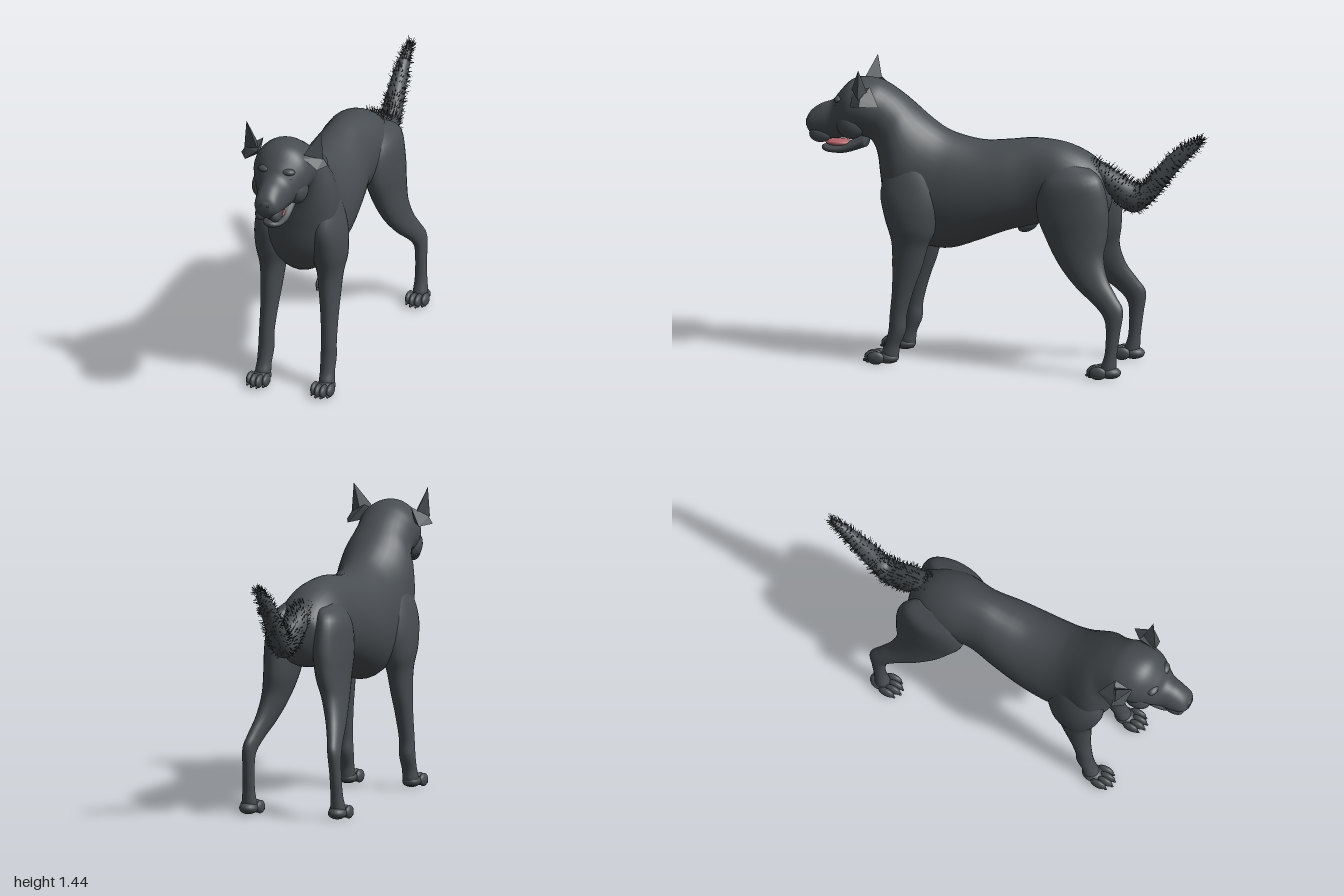
import * as THREE from 'three';
import { ConvexGeometry } from 'three/addons/geometries/ConvexGeometry.js';

const mat = (name, color, side = THREE.FrontSide) => {
  const m = new THREE.MeshStandardMaterial({ color, side });
  m.name = name;
  return m;
};

// Smooth loft. Each section: [z1, y1, z2, y2, halfWidth, x], the two points being
// opposite ends of an oval ring whose other axis is x.
function loft(sections, steps = 5, sides = 28) {
  const rows = [];
  const n = sections.length;
  const at = (i, k) => sections[Math.min(n - 1, Math.max(0, i))][k] ?? 0;
  for (let i = 0; i < n - 1; i++) {
    for (let s = 0; s < steps + (i === n - 2 ? 1 : 0); s++) {
      const t = s / steps;
      rows.push([0, 1, 2, 3, 4, 5].map(k => {
        const a = at(i - 1, k), b = at(i, k), c = at(i + 1, k), d = at(i + 2, k);
        return b + 0.5 * t * (c - a + t * (2 * a - 5 * b + 4 * c - d + t * (3 * (b - c) + d - a)));
      }));
    }
  }
  const pos = [], idx = [];
  for (const [z1, y1, z2, y2, w, x] of rows) {
    for (let j = 0; j < sides; j++) {
      const a = j / sides * Math.PI * 2, c = Math.cos(a) / 2;
      pos.push(x + w * Math.sin(a), (y1 + y2) / 2 + (y1 - y2) * c, (z1 + z2) / 2 + (z1 - z2) * c);
    }
  }
  for (let i = 0; i < rows.length - 1; i++) {
    for (let j = 0; j < sides; j++) {
      const k = (j + 1) % sides, a = i * sides + j, b = i * sides + k;
      idx.push(a, a + sides, b, b, a + sides, b + sides);
    }
  }
  // end caps
  [0, rows.length - 1].forEach((r, end) => {
    const [z1, y1, z2, y2, , x] = rows[r], mid = pos.length / 3;
    pos.push(x, (y1 + y2) / 2, (z1 + z2) / 2);
    for (let j = 0; j < sides; j++) {
      const a = r * sides + j, b = r * sides + (j + 1) % sides;
      idx.push(mid, end ? b : a, end ? a : b);
    }
  });
  const g = new THREE.BufferGeometry();
  g.setAttribute('position', new THREE.Float32BufferAttribute(pos, 3));
  g.setIndex(idx);
  g.computeVertexNormals();
  return g;
}

// Thin hairs standing on a surface, swept along a direction
function hairs(geo, count, length, sweep) {
  let seed = 7;
  const rnd = () => (seed = (seed * 16807) % 2147483647) / 2147483647;
  const p = geo.attributes.position, nrm = geo.attributes.normal, pos = [];
  for (let i = 0; i < count; i++) {
    const k = Math.floor(rnd() * p.count);
    const n = new THREE.Vector3().fromBufferAttribute(nrm, k);
    const v = new THREE.Vector3().fromBufferAttribute(p, k);
    const side = new THREE.Vector3(rnd() - 0.5, rnd() - 0.5, rnd() - 0.5).cross(n).setLength(0.003);
    const tip = v.clone().addScaledVector(n, length * (0.4 + 0.6 * rnd())).addScaledVector(sweep, length * rnd());
    pos.push(...v.clone().add(side).toArray(), ...v.clone().sub(side).toArray(), ...tip.toArray());
  }
  const g = new THREE.BufferGeometry();
  g.setAttribute('position', new THREE.Float32BufferAttribute(pos, 3));
  g.computeVertexNormals();
  return g;
}

export function createModel() {
  const model = new THREE.Group();
  model.name = 'dog';
  const coat = mat('coat', 0x484d51);
  const fur = mat('furTips', 0x34383b, THREE.DoubleSide);
  const dark = mat('darkSkin', 0x33373a);
  const pink = mat('tongue', 0xb5666b);

  const add = (name, geo, material = coat, parent = model) => {
    const m = new THREE.Mesh(geo, material);
    m.name = name;
    parent.add(m);
    return m;
  };
  const ball = (name, p, s, material = coat, parent = model) => {
    const m = add(name, new THREE.SphereGeometry(1, 20, 14), material, parent);
    m.position.set(...p);
    m.scale.set(...s);
    return m;
  };

  // Trunk, neck, skull and muzzle in one skin
  add('bodyAndHead', loft([
    [-0.50, 0.94, -0.51, 0.82, 0.04], [-0.48, 0.98, -0.47, 0.73, 0.11],
    [-0.40, 1.05, -0.36, 0.70, 0.155], [-0.28, 1.10, -0.25, 0.715, 0.16],
    [-0.13, 1.115, -0.13, 0.69, 0.145], [0, 1.10, 0, 0.655, 0.165],
    [0.12, 1.09, 0.14, 0.60, 0.18], [0.22, 1.105, 0.27, 0.555, 0.185],
    [0.30, 1.13, 0.38, 0.555, 0.185], [0.36, 1.165, 0.51, 0.60, 0.19],
    [0.42, 1.21, 0.60, 0.72, 0.195], [0.47, 1.25, 0.625, 0.88, 0.18],
    [0.52, 1.29, 0.64, 0.99, 0.155], [0.58, 1.33, 0.67, 1.06, 0.145],
    [0.64, 1.36, 0.715, 1.08, 0.15, 0.003], [0.72, 1.37, 0.76, 1.08, 0.145, 0.006],
    [0.78, 1.352, 0.79, 1.07, 0.13, 0.01], [0.835, 1.295, 0.83, 1.065, 0.102, 0.01],
    [0.87, 1.252, 0.87, 1.06, 0.08, 0.01], [0.93, 1.228, 0.925, 1.055, 0.068, 0.01],
    [0.98, 1.19, 0.975, 1.08, 0.055, 0.01], [1.0, 1.15, 0.998, 1.11, 0.025, 0.01],
  ], 5, 36));

  // Open mouth
  add('lowerJaw', loft([
    [0.70, 1.10, 0.70, 1.03, 0.06, 0.01], [0.80, 1.045, 0.80, 0.995, 0.06, 0.01],
    [0.87, 1.03, 0.88, 0.992, 0.05, 0.01], [0.91, 1.03, 0.915, 1.0, 0.03, 0.01],
    [0.925, 1.022, 0.925, 1.012, 0.008, 0.01],
  ]));
  ball('tongue', [0.01, 1.042, 0.84], [0.044, 0.018, 0.068], pink);
  ball('nose', [0.01, 1.15, 0.978], [0.034, 0.026, 0.022]);
  for (const s of [-1, 1]) {
    ball('nostril', [0.01 + s * 0.017, 1.148, 0.996], [0.007, 0.006, 0.005], dark);
    ball('lip', [0.01 + s * 0.038, 1.085, 0.925], [0.028, 0.04, 0.055]);
    ball('brow', [0.01 + s * 0.058, 1.265, 0.825], [0.036, 0.018, 0.026]);
    ball('eye', [0.01 + s * 0.064, 1.238, 0.834], [0.02, 0.008, 0.014], dark);
    ball('cheek', [0.005 + s * 0.09, 1.15, 0.76], [0.05, 0.07, 0.07]);
  }

  // Ears: upright point over a folded flap
  for (const s of [-1, 1]) {
    const hull = pts => new ConvexGeometry(pts.map(([x, y, z]) => new THREE.Vector3(s * x, y, z)));
    add('earPoint', hull([[0.192, 1.44, 0.70], [0.203, 1.297, 0.70], [0.12, 1.33, 0.75], [0.14, 1.30, 0.66]]));
    add('earFlap', hull([
      [0.12, 1.31, 0.75], [0.12, 1.345, 0.66], [0.185, 1.255, 0.74],
      [0.222, 1.265, 0.69], [0.185, 1.26, 0.60], [0.13, 1.27, 0.68], [0.2, 1.30, 0.69],
    ]));
  }

  // Legs, built down each side from shoulder and hip
  const paw = (name, x, z, parent) => {
    ball(name + 'Pad', [x, 0.03, z - 0.045], [0.045, 0.03, 0.055], coat, parent);
    [-1.5, -0.5, 0.5, 1.5].forEach(t => {
      const out = Math.abs(t) > 1;
      ball(name + 'Toe', [x + t * 0.027, 0.031, z + (out ? 0.005 : 0.026)], [0.017, 0.032, 0.042], coat, parent);
      ball(name + 'Claw', [x + t * 0.027, 0.015, z + (out ? 0.044 : 0.064)], [0.006, 0.008, 0.01], dark, parent);
    });
  };
  const front = [
    [0.46, 1.08, 0.36, 1.04, 0.02, 0.10], [0.55, 0.98, 0.33, 0.92, 0.06, 0.13],
    [0.60, 0.85, 0.31, 0.78, 0.083, 0.142], [0.58, 0.72, 0.33, 0.66, 0.083, 0.145],
    [0.545, 0.60, 0.365, 0.58, 0.062, 0.147], [0.54, 0.48, 0.395, 0.47, 0.05, 0.15],
    [0.54, 0.36, 0.435, 0.36, 0.042, 0.155], [0.55, 0.24, 0.467, 0.24, 0.037, 0.16],
    [0.555, 0.17, 0.472, 0.16, 0.039, 0.16], [0.57, 0.10, 0.50, 0.09, 0.036, 0.162],
    [0.59, 0.05, 0.505, 0.04, 0.038, 0.164], [0.575, 0.01, 0.515, 0.01, 0.03, 0.164],
  ];
  const hind = [
    [-0.25, 1.03, -0.42, 1.0, 0.03, 0.09], [-0.19, 0.92, -0.49, 0.95, 0.07, 0.122],
    [-0.17, 0.78, -0.525, 0.82, 0.083, 0.125], [-0.22, 0.65, -0.525, 0.68, 0.073, 0.135],
    [-0.29, 0.53, -0.51, 0.58, 0.058, 0.155], [-0.38, 0.43, -0.535, 0.48, 0.045, 0.18],
    [-0.48, 0.35, -0.585, 0.40, 0.035, 0.205], [-0.53, 0.29, -0.623, 0.335, 0.031, 0.22],
    [-0.54, 0.22, -0.61, 0.23, 0.028, 0.225], [-0.535, 0.12, -0.595, 0.12, 0.03, 0.228],
    [-0.515, 0.05, -0.59, 0.04, 0.037, 0.23], [-0.52, 0.01, -0.58, 0.01, 0.03, 0.23],
  ];
  for (const s of [-1, 1]) {
    const side = s > 0 ? 'left' : 'right';
    const mirror = list => list.map(([a, b, c, d, w, x]) => [a, b, c, d, w, s * x]);
    const f = new THREE.Group(), h = new THREE.Group();
    f.name = side + 'FrontLeg';
    h.name = side + 'HindLeg';
    model.add(f, h);
    add('frontLeg', loft(mirror(front)), coat, f);
    paw('frontPaw', s * 0.165, 0.605, f);
    add('hindLeg', loft(mirror(hind)), coat, h);
    paw('hindPaw', s * 0.23, -0.515, h);
  }
  const sheath = ball('bellySheath', [0, 0.685, -0.095], [0.028, 0.032, 0.055]);
  sheath.rotation.x = 0.5;

  // Tail dips, then sweeps up behind
  const tail = loft([
    [-0.45, 0.90, -0.40, 1.03, 0.05, 0], [-0.50, 0.87, -0.47, 1.005, 0.06, 0.01],
    [-0.56, 0.805, -0.56, 0.962, 0.062, 0.018], [-0.635, 0.78, -0.635, 0.92, 0.06, 0.022],
    [-0.71, 0.83, -0.675, 0.93, 0.052, 0.022], [-0.78, 0.915, -0.72, 0.985, 0.046, 0.022],
    [-0.86, 1.015, -0.805, 1.075, 0.036, 0.022], [-0.935, 1.10, -0.895, 1.14, 0.023, 0.022],
    [-0.97, 1.148, -0.955, 1.16, 0.008, 0.022],
  ]);
  add('tail', tail);
  add('tailFur', hairs(tail, 1100, 0.026, new THREE.Vector3(0, 0.5, -0.6)), fur);

  return model;
}
